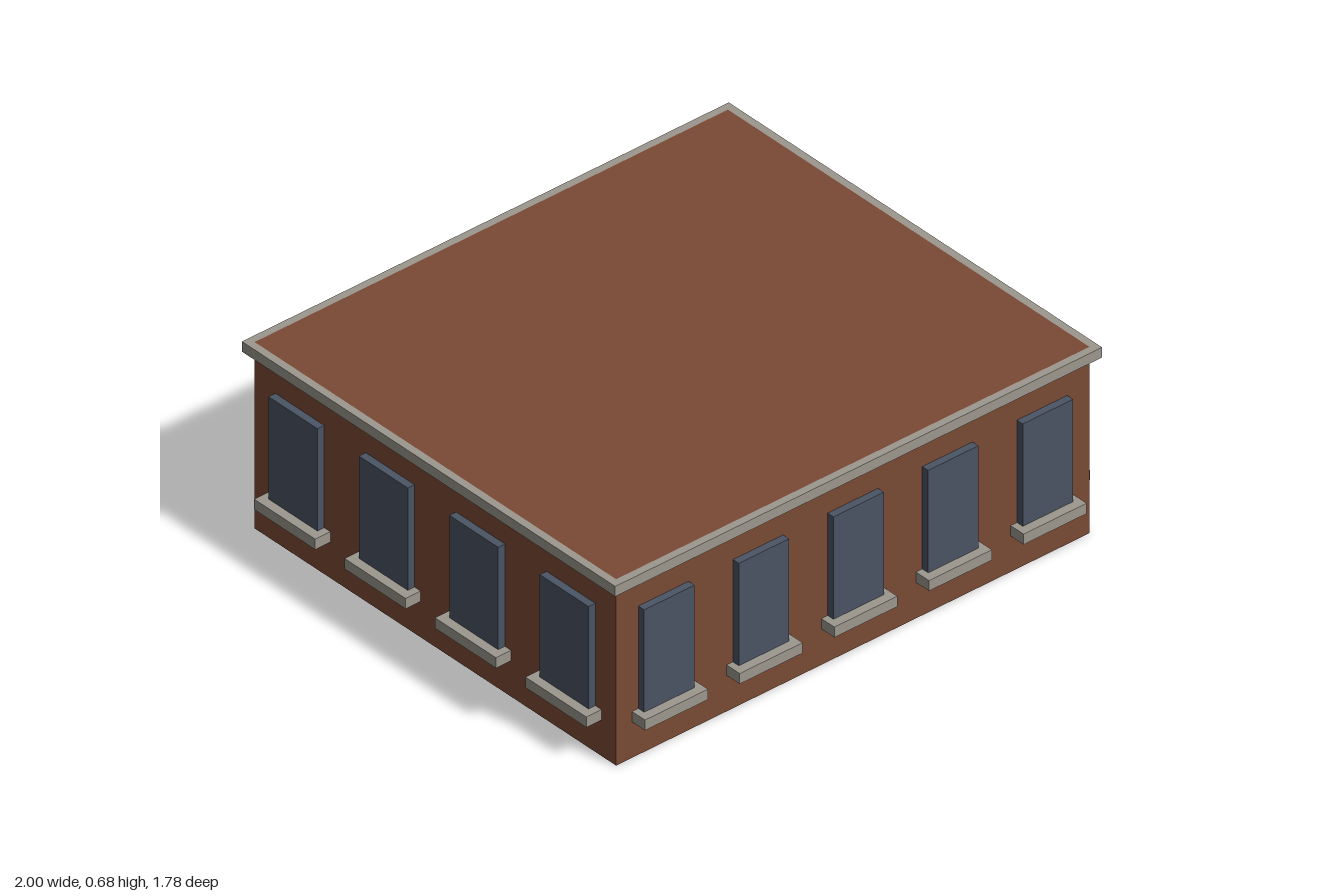
import * as THREE from 'three';

const W = 1.88, D = 1.66, H = 0.68; // wall block
const LIP = 0.027;                  // how far the coping and windows stand out
const SILL_OUT = 0.06;

export function createModel() {
  const brick = new THREE.MeshStandardMaterial({ color: 0x7a4a35 });
  brick.name = 'brick';
  const stone = new THREE.MeshStandardMaterial({ color: 0x9c988e });
  stone.name = 'stone';
  const glass = new THREE.MeshStandardMaterial({ color: 0x4b5463 });
  glass.name = 'glass';

  const model = new THREE.Group();
  model.name = 'building';

  function addBox(parent, name, material, size, position) {
    const mesh = new THREE.Mesh(new THREE.BoxGeometry(...size), material);
    mesh.name = name;
    mesh.position.set(...position);
    parent.add(mesh);
  }

  // Brick walls with a flat roof
  addBox(model, 'walls', brick, [W, H, D], [0, H / 2, 0]);

  // Stone coping: a frame around the roof edge
  const rect = (Type, w, d) => new Type([
    new THREE.Vector2(-w / 2, -d / 2), new THREE.Vector2(w / 2, -d / 2),
    new THREE.Vector2(w / 2, d / 2), new THREE.Vector2(-w / 2, d / 2),
  ]);
  const outline = rect(THREE.Shape, W + 2 * LIP, D + 2 * LIP);
  outline.holes.push(rect(THREE.Path, W, D));
  const copingGeometry = new THREE.ExtrudeGeometry(outline, { depth: 0.037, bevelEnabled: false });
  copingGeometry.rotateX(-Math.PI / 2);
  const coping = new THREE.Mesh(copingGeometry, stone);
  coping.name = 'coping';
  coping.position.y = H - 0.037;
  model.add(coping);

  // One row of windows with sills, built facing +z and turned to its wall
  function addFacade(name, angle, length, distance, count, windowWidth, sillWidth) {
    const facade = new THREE.Group();
    facade.name = name;
    facade.rotation.y = angle;
    const spacing = length / count;
    for (let i = 0; i < count; i++) {
      const x = (i - (count - 1) / 2) * spacing;
      addBox(facade, 'window', glass, [windowWidth, 0.385, LIP], [x, 0.35, distance + LIP / 2]);
      addBox(facade, 'sill', stone, [sillWidth, 0.038, SILL_OUT], [x, 0.15, distance + SILL_OUT / 2]);
    }
    model.add(facade);
  }
  addFacade('frontWindows', 0, W, D / 2, 5, 0.2, 0.25);
  addFacade('backWindows', Math.PI, W, D / 2, 5, 0.2, 0.25);
  addFacade('leftWindows', Math.PI / 2, D, W / 2, 4, 0.224, 0.28);
  addFacade('rightWindows', -Math.PI / 2, D, W / 2, 4, 0.224, 0.28);

  return model;
}
